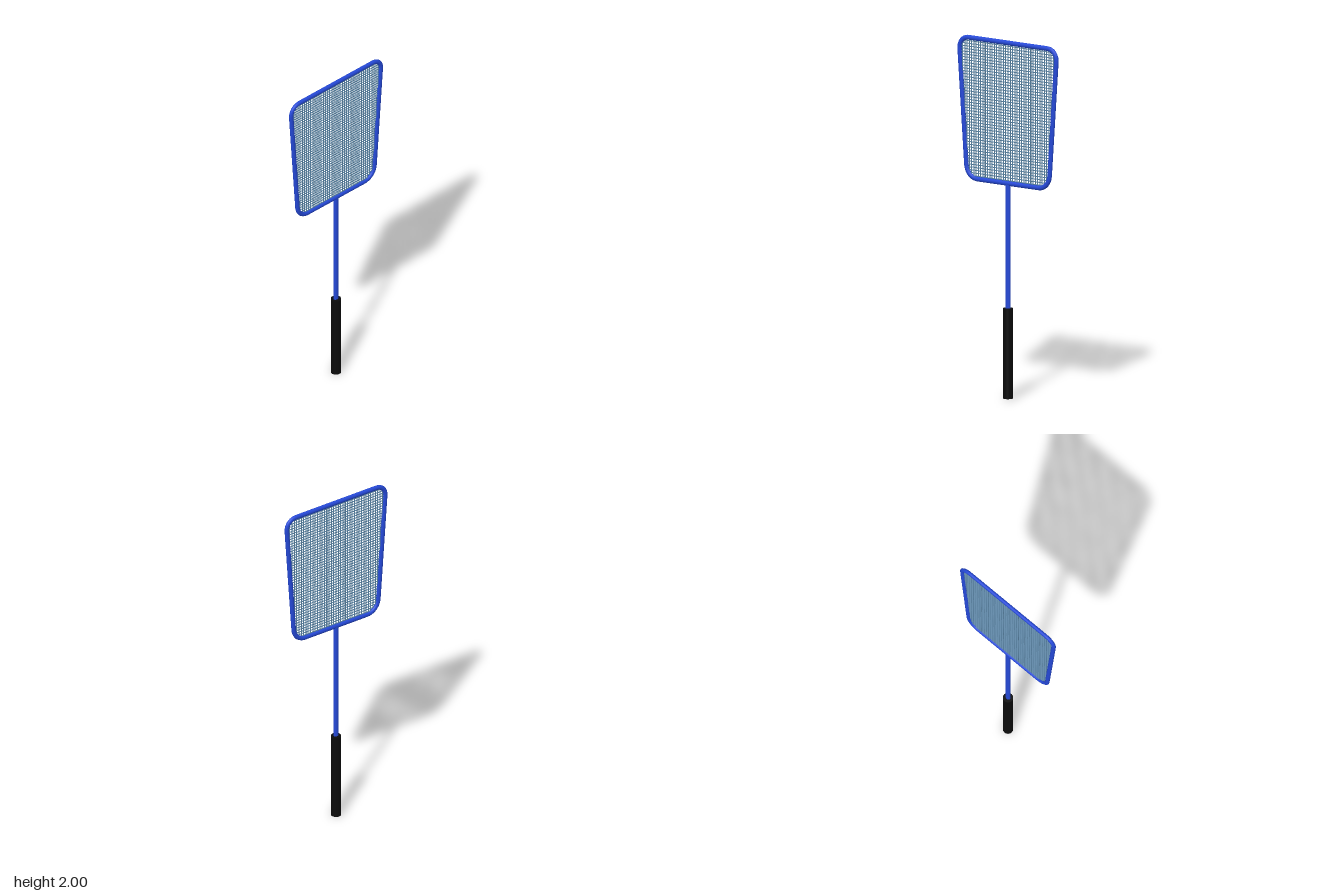
import * as THREE from 'three';
import { mergeGeometries } from 'three/addons/utils/BufferGeometryUtils.js';

const TUBE = 0.0135, FLATTEN = 0.8, TOP = 1.9865, BOTTOM = 1.201;
const WIRE = 0.0028, PITCH = 0.01566;

// Tapered head outline with rounded corners, narrower at the bottom
function headPath() {
  const path = new THREE.CurvePath();
  const v = (x, y) => new THREE.Vector3(x, y, 0);
  const side = (y) => 0.281 + (y - BOTTOM) * 0.072;
  const t = TOP - 0.07, b = BOTTOM + 0.075;
  const line = (p, q) => path.add(new THREE.LineCurve3(p, q));
  const corner = (p, c, q) => path.add(new THREE.CubicBezierCurve3(
    p, p.clone().lerp(c, 0.58), q.clone().lerp(c, 0.58), q));
  line(v(0, BOTTOM), v(0.21, BOTTOM));
  corner(v(0.21, BOTTOM), v(side(BOTTOM), BOTTOM), v(side(b), b));
  line(v(side(b), b), v(side(t), t));
  corner(v(side(t), t), v(side(TOP), TOP), v(0.27, TOP));
  line(v(0.27, TOP), v(-0.27, TOP));
  corner(v(-0.27, TOP), v(-side(TOP), TOP), v(-side(t), t));
  line(v(-side(t), t), v(-side(b), b));
  corner(v(-side(b), b), v(-side(BOTTOM), BOTTOM), v(-0.21, BOTTOM));
  line(v(-0.21, BOTTOM), v(0, BOTTOM));
  return path;
}

// Range of the outline along one axis where the other axis equals value
function span(points, along, across, value) {
  const hits = [];
  points.forEach((p, i) => {
    const q = points[(i + 1) % points.length];
    if ((p[across] - value) * (q[across] - value) < 0) {
      const k = (value - p[across]) / (q[across] - p[across]);
      hits.push(p[along] + (q[along] - p[along]) * k);
    }
  });
  return hits.length > 1 ? [Math.min(...hits), Math.max(...hits)] : null;
}

export function createModel() {
  const group = new THREE.Group();
  const blue = new THREE.MeshStandardMaterial({ color: 0x2549d8 });
  const black = new THREE.MeshStandardMaterial({ color: 0x0b0b0b });
  const steel = new THREE.MeshStandardMaterial({ color: 0x5a86a8 });
  const add = (name, geometry, material) => {
    const mesh = new THREE.Mesh(geometry, material);
    mesh.name = name;
    group.add(mesh);
    return mesh;
  };

  // Grip and slightly flattened shaft
  add('grip', new THREE.CylinderGeometry(0.0285, 0.0285, 0.503, 32), black).position.y = 0.2515;
  const shaft = add('shaft', new THREE.CylinderGeometry(0.015, 0.015, 0.71, 20), blue);
  shaft.position.y = 0.85;
  shaft.scale.z = 0.7;

  // Slightly flattened rim of the head
  const path = headPath();
  add('headFrame', new THREE.TubeGeometry(path, 240, TUBE, 12, true).scale(1, 1, FLATTEN), blue);

  // Wire screen, each wire ending inside the rim
  const outline = path.getSpacedPoints(400).slice(0, -1);
  const wires = [];
  const wire = (length) => new THREE.CylinderGeometry(WIRE, WIRE, length, 6, 1, true);
  for (let i = -20; i <= 20; i++) {
    const x = i * PITCH + 1e-5;
    const s = span(outline, 'y', 'x', x);
    if (s) wires.push(wire(s[1] - s[0]).translate(x, (s[0] + s[1]) / 2, 0));
  }
  for (let y = BOTTOM + PITCH; y < TOP - 0.008; y += PITCH) {
    const s = span(outline, 'x', 'y', y);
    if (s) wires.push(wire(s[1] - s[0]).rotateZ(Math.PI / 2).translate((s[0] + s[1]) / 2, y, 0));
  }
  add('screen', mergeGeometries(wires), steel);
  return group;
}
